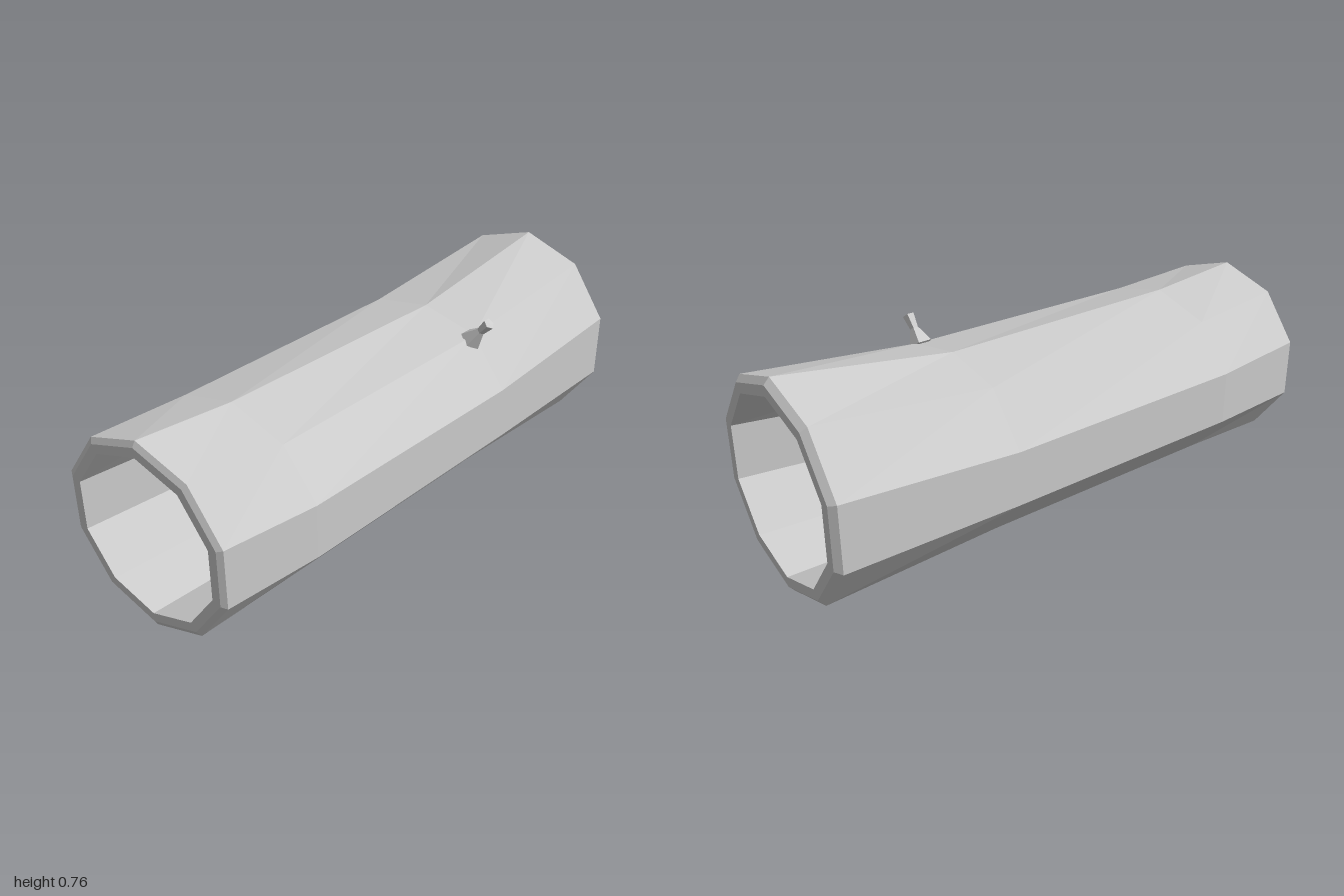
import * as THREE from 'three';

const SIDES = 10;
const material = new THREE.MeshStandardMaterial({ color: 0xcccccc, flatShading: true });

// One ten-sided ring across the log; slant leans it along x as z grows,
// shoulder raises the two vertices beside the top ridge.
function ring({ x, y, ry, rz, slant = 0, shoulder = 0 }) {
  return Array.from({ length: SIDES }, (_, k) => {
    const a = (k / SIDES) * Math.PI * 2;
    const z = rz * Math.sin(a);
    const lift = k === 1 || k === SIDES - 1 ? shoulder : 0;
    return [x + slant * z, y + ry * Math.cos(a) + lift, z];
  });
}

// Joins the rings into a closed tube wall: outside, rim, inside, rim.
function loftLoop(rings) {
  const positions = [];
  rings.forEach((a, i) => {
    const b = rings[(i + 1) % rings.length];
    for (let k = 0; k < SIDES; k++) {
      const n = (k + 1) % SIDES;
      positions.push(...a[k], ...a[n], ...b[k], ...a[n], ...b[n], ...b[k]);
    }
  });
  const geometry = new THREE.BufferGeometry();
  geometry.setAttribute('position', new THREE.Float32BufferAttribute(positions, 3));
  geometry.computeVertexNormals();
  return geometry;
}

export function createModel() {
  const group = new THREE.Group();
  group.name = 'hollowLog';

  // Hollow trunk, flared at both ends, with a slanted cut on the -x end
  const slant = 0.076;
  const trunk = new THREE.Mesh(loftLoop([
    // bark
    { x: -0.965, y: 0.35, ry: 0.345, rz: 0.345, slant },
    { x: -0.6, y: 0.35, ry: 0.315, rz: 0.38 },
    { x: 0.34, y: 0.35, ry: 0.315, rz: 0.38, shoulder: 0.015 },
    { x: 0.98, y: 0.381, ry: 0.38, rz: 0.38 },
    // bevelled rim at the +x end
    { x: 1, y: 0.382, ry: 0.357, rz: 0.357 },
    { x: 1, y: 0.382, ry: 0.32, rz: 0.32 },
    // bore
    { x: 0.34, y: 0.332, ry: 0.288, rz: 0.281 },
    { x: -0.6, y: 0.332, ry: 0.288, rz: 0.281 },
    // bevelled rim at the -x end
    { x: -0.976, y: 0.35, ry: 0.292, rz: 0.292, slant },
    { x: -0.976, y: 0.35, ry: 0.325, rz: 0.325, slant },
  ].map(ring)), material);
  trunk.name = 'trunk';
  group.add(trunk);

  // Broken twig: wide root, narrow neck, slightly flared tip
  const profile = [[0, -0.01], [0.042, 0], [0.015, 0.062], [0.021, 0.113], [0, 0.115]]
    .map(([r, h]) => new THREE.Vector2(r, h));
  const twig = new THREE.Mesh(new THREE.LatheGeometry(profile, 5), material);
  twig.name = 'twig';
  twig.position.set(0.32, 0.61, 0.225);
  twig.rotation.x = Math.atan2(0.65, 0.76);
  group.add(twig);

  return group;
}
